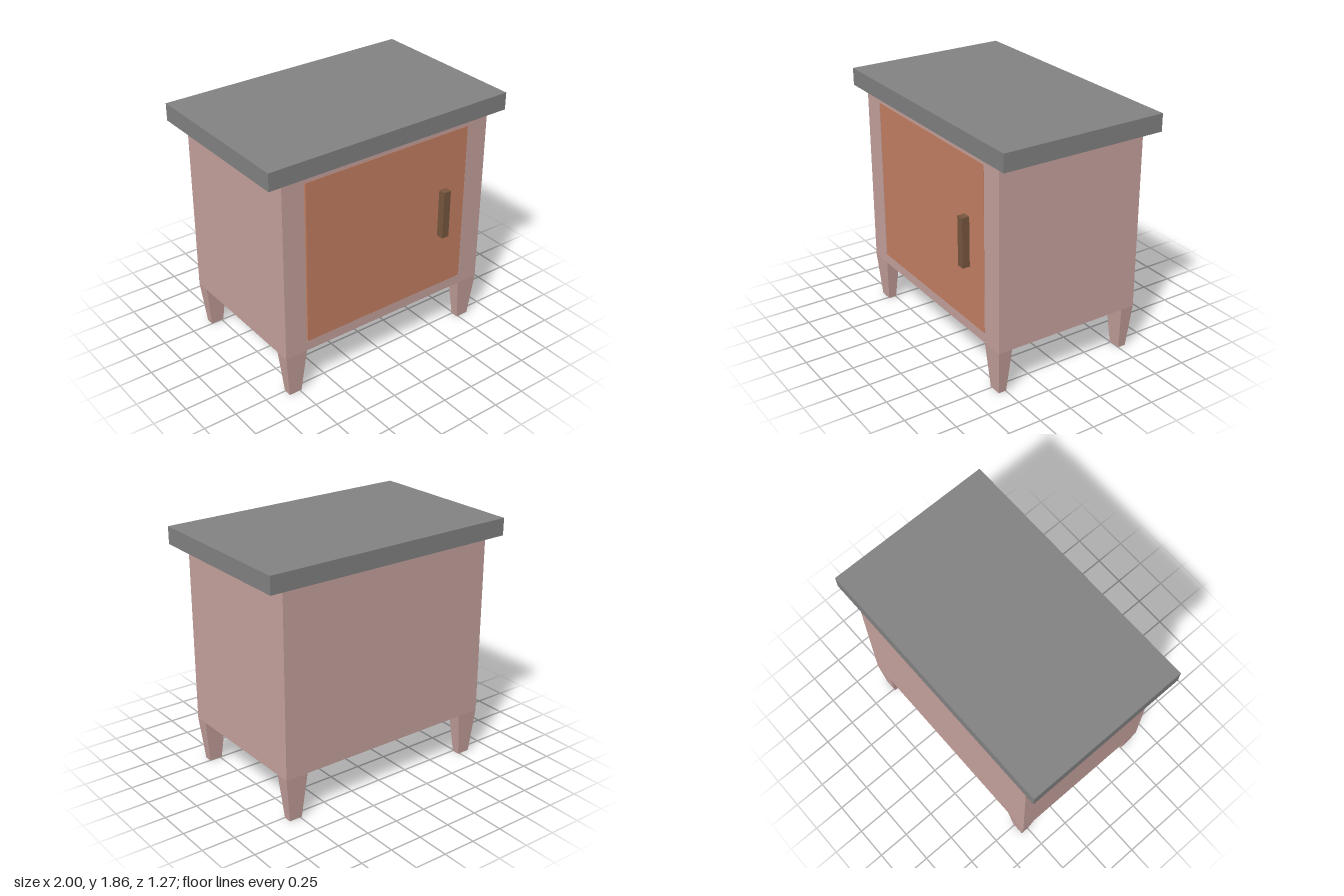
import * as THREE from 'three';

const paint = (color) => new THREE.MeshStandardMaterial({ color, flatShading: true });

// Box given by its lower and upper limits on each axis
function block(name, [x0, x1], [y0, y1], [z0, z1], material) {
  const mesh = new THREE.Mesh(new THREE.BoxGeometry(x1 - x0, y1 - y0, z1 - z0), material);
  mesh.position.set((x0 + x1) / 2, (y0 + y1) / 2, (z0 + z1) / 2);
  mesh.name = name;
  return mesh;
}

function rectangle(PathType, x0, x1, y0, y1) {
  return new PathType([[x0, y0], [x1, y0], [x1, y1], [x0, y1]].map(([x, y]) => new THREE.Vector2(x, y)));
}

export function createModel() {
  const group = new THREE.Group();
  group.name = 'bedsideCabinet';
  const pink = paint(0xc9a5a0);
  const back = -0.585, front = 0.58, floor = 0.345, top = 1.725;

  // Hollow carcass: thick frame running front to back, closed by a back panel
  const outline = rectangle(THREE.Shape, -0.875, 0.875, floor, top);
  outline.holes.push(rectangle(THREE.Path, -0.7, 0.7, 0.42, 1.665));
  const carcass = new THREE.Mesh(
    new THREE.ExtrudeGeometry(outline, { depth: front - back, bevelEnabled: false }), pink);
  carcass.position.z = back;
  carcass.name = 'carcass';
  group.add(carcass);
  group.add(block('backPanel', [-0.7, 0.7], [0.42, 1.665], [back, back + 0.06], pink));
  group.add(block('shelf', [-0.7, 0.7], [1.08, 1.13], [back + 0.06, 0.5], pink));

  // Door with a narrow gap on one side, and its handle
  group.add(block('door', [-0.69, 0.698], [0.421, 1.664], [0.53, 0.581], paint(0xc88264)));
  group.add(block('handle', [0.46, 0.52], [0.855, 1.23], [front, 0.637], paint(0x7a5840)));

  // Overhanging top
  group.add(block('tabletop', [-1, 1], [top, 1.855], [-0.637, 0.63], paint(0x848484)));

  // Legs tapering towards the floor
  const legGeometry = new THREE.BoxGeometry(0.175, floor, 0.107);
  const p = legGeometry.attributes.position;
  for (let i = 0; i < p.count; i++) {
    if (p.getY(i) < 0) {
      p.setX(i, p.getX(i) * 0.57);
      p.setZ(i, p.getZ(i) * 0.57);
    }
  }
  legGeometry.computeVertexNormals();
  for (const x of [-0.7875, 0.7875]) {
    for (const z of [front - 0.0535, back + 0.0535]) {
      const leg = new THREE.Mesh(legGeometry, pink);
      leg.position.set(x, floor / 2, z);
      leg.name = (z > 0 ? 'front' : 'back') + (x > 0 ? 'Left' : 'Right') + 'Leg';
      group.add(leg);
    }
  }
  return group;
}
